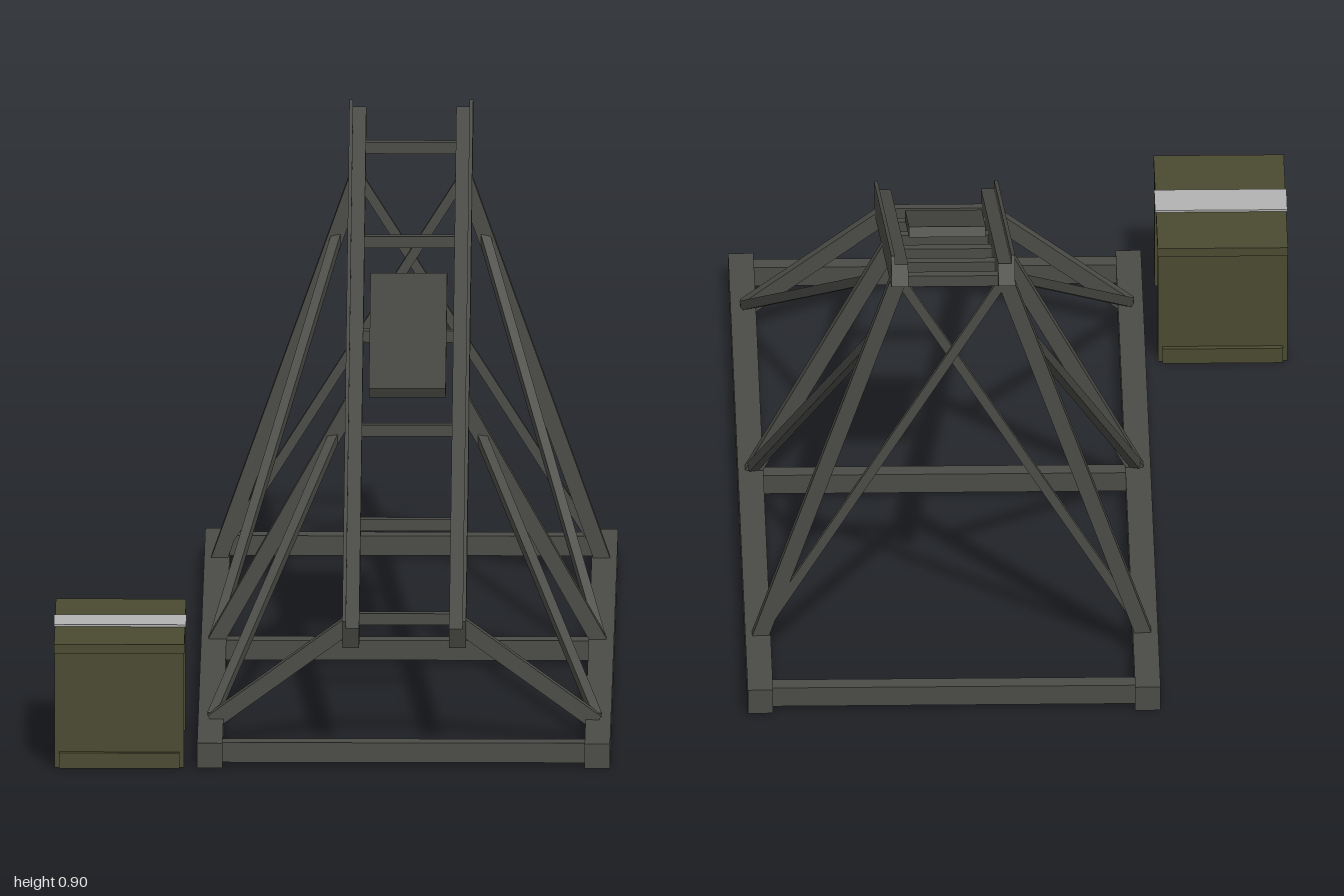
import * as THREE from 'three';

export function createModel() {
  const model = new THREE.Group();
  model.name = 'launchRampWithCrate';
  const mat = (name, color) => {
    const m = new THREE.MeshStandardMaterial({ color });
    m.name = name;
    return m;
  };
  const steel = mat('dark steel', 0x4a4a46);
  const plateSteel = mat('plate steel', 0x444540);
  const olive = mat('olive wood', 0x4a4930);
  const pale = mat('pale sheet', 0xb2b2b2);

  // Box given by its size and centre
  function box(parent, name, material, w, h, d, x, y, z) {
    const m = new THREE.Mesh(new THREE.BoxGeometry(w, h, d), material);
    m.name = name;
    m.position.set(x, y, z);
    parent.add(m);
    return m;
  }
  // Square bar running from a to b; "up" sets the direction of its height
  function strut(parent, name, a, b, w, h, up) {
    const p = new THREE.Vector3(...a), q = new THREE.Vector3(...b);
    const m = new THREE.Mesh(new THREE.BoxGeometry(w, h, p.distanceTo(q)), steel);
    m.name = name;
    m.up.set(...up);
    m.position.copy(p).add(q).multiplyScalar(0.5);
    m.lookAt(q);
    parent.add(m);
  }

  const CX = 0.135; // centre line of the ramp
  const tilt = Math.atan(0.367);

  // Ground frame
  const base = new THREE.Group();
  base.name = 'groundFrame';
  model.add(base);
  for (const s of [-1, 1]) {
    box(base, 'sideBeam', steel, 0.048, 0.048, 1.99, CX + s * 0.366, 0.024, -0.005);
  }
  for (const z of [0.95, 0.003, -0.965]) {
    box(base, 'crossBeam', steel, 0.69, 0.038, 0.038, CX, 0.026, z);
  }

  // Splayed legs and braces, mirrored across the centre line
  const supports = new THREE.Group();
  supports.name = 'supports';
  model.add(supports);
  const legs = [[0.755, 0.235], [0.013, 0.515], [-0.74, 0.79]];
  for (const s of [-1, 1]) {
    const foot = CX + s * 0.363, top = CX + s * 0.098;
    for (const [z, y] of legs) {
      strut(supports, 'leg', [foot, 0.042, z], [top, y, z], 0.03, 0.024, [0, 0, 1]);
    }
    strut(supports, 'sideBrace', [foot, 0.05, 0.75], [CX + s * 0.14, 0.435, 0.018], 0.018, 0.018, [0, 1, 0]);
    strut(supports, 'sideBrace', [foot, 0.05, 0.01], [CX + s * 0.14, 0.665, -0.735], 0.018, 0.018, [0, 1, 0]);
    strut(supports, 'rearCrossBrace', [foot, 0.05, -0.74 - s * 0.004], [CX - s * 0.095, 0.775, -0.74 - s * 0.004],
      0.018, 0.012, [0, 0, 1]);
  }

  // Inclined rails with a raised outer lip
  const ramp = new THREE.Group();
  ramp.name = 'inclinedRails';
  ramp.position.set(CX, 0.5495, -0.0275);
  ramp.rotation.x = tilt;
  model.add(ramp);
  for (const s of [-1, 1]) {
    box(ramp, 'rail', steel, 0.026, 0.043, 1.865, s * 0.098, -0.008, 0);
    box(ramp, 'railLip', steel, 0.007, 0.059, 1.865, s * 0.1135, 0, 0);
  }

  // Rungs between the rails
  for (let i = 0; i < 6; i++) {
    box(model, 'rung', steel, 0.18, 0.022, 0.02, CX, 0.24 + i * 0.116, 0.752 - i * 0.316);
  }

  // Plate lying between the rails
  const plate = box(model, 'rampPlate', plateSteel, 0.145, 0.02, 0.412, CX, 0.607, -0.108);
  plate.rotation.x = tilt;

  // Crate beside the frame
  const crate = new THREE.Group();
  crate.name = 'crate';
  crate.position.set(-0.402, 0, 0.787);
  model.add(crate);
  box(crate, 'crateBody', olive, 0.228, 0.222, 0.394, 0, 0.113, 0);
  box(crate, 'crateLid', olive, 0.246, 0.017, 0.424, 0, 0.2315, 0);
  for (const s of [-1, 1]) {
    box(crate, 'endSkirt', olive, 0.228, 0.03, 0.012, 0, 0.015, s * 0.203);
    for (const t of [-1, 1]) {
      box(crate, 'sideBatten', olive, 0.008, 0.223, 0.055, s * 0.118, 0.1115, t * 0.172);
    }
  }
  box(crate, 'paleSheet', pale, 0.25, 0.004, 0.094, 0, 0.242, 0);

  return model;
}
